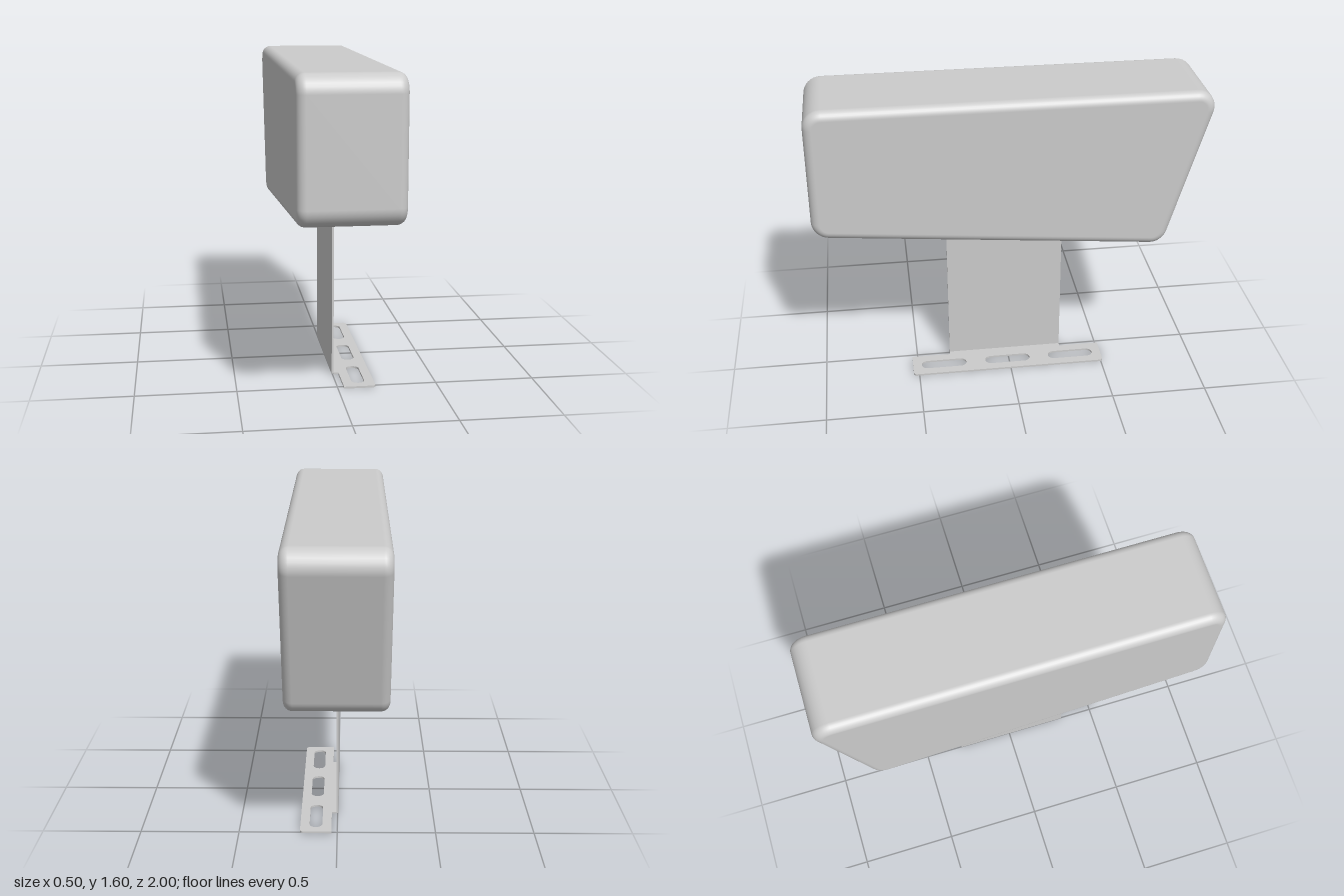
import * as THREE from 'three';

const material = new THREE.MeshStandardMaterial({ color: 0xcccccc, side: THREE.DoubleSide });

// Housing side profile as [z, y] corners: front top, back top, back bottom, front bottom
const CORNERS = [[1, 1.6], [-1.03, 1.6], [-0.785, 0.757], [1, 0.922]].map(p => new THREE.Vector2(...p));
const CORNER_R = 0.09, EDGE_R = 0.045, HALF_FLAT = 0.205, WALL = 0.022;
const OPEN_BACK = -0.68, OPEN_FRONT = 0.8;
const slope = (0.922 - 0.757) / 1.785;
const bottomY = z => 0.757 + (z + 0.785) * slope;

function mesh(name, geometry, parent) {
  const m = new THREE.Mesh(geometry, material);
  m.name = name;
  parent.add(m);
  return m;
}

function box(name, parent, [x0, x1], [y0, y1], [z0, z1]) {
  const g = new THREE.BoxGeometry(x1 - x0, y1 - y0, z1 - z0);
  return mesh(name, g.translate((x0 + x1) / 2, (y0 + y1) / 2, (z0 + z1) / 2), parent);
}

// Rounded profile as arc centres plus outward normals, so it can be offset exactly
function profile() {
  const pts = [];
  let openIndex = 0;
  const normal = i => {
    const d = CORNERS[(i + 1) % 4].clone().sub(CORNERS[i % 4]).normalize();
    return new THREE.Vector2(d.y, -d.x);
  };
  for (let i = 0; i < 4; i++) {
    const n0 = normal(i + 3), n1 = normal(i);
    const bisector = n0.clone().add(n1);
    const c = CORNERS[i].clone().addScaledVector(bisector, -CORNER_R / (1 + n0.dot(n1)));
    const turn = Math.acos(n0.dot(n1));
    for (let k = 0; k <= 8; k++) {
      pts.push({ c, n: n0.clone().rotateAround(new THREE.Vector2(), turn * k / 8) });
    }
    if (i === 2) { // the two ends of the bottom opening
      openIndex = pts.length;
      for (const z of [OPEN_BACK, OPEN_FRONT]) {
        pts.push({ c: new THREE.Vector2(z, bottomY(z)).addScaledVector(n1, -CORNER_R), n: n1 });
      }
    }
  }
  return { pts, openIndex };
}

// One skin of the housing: profile lofted across x with filleted side edges
function skin(edgeRadius, inward) {
  const { pts, openIndex } = profile();
  const N = pts.length, STEPS = 8, pos = [], nor = [], index = [];
  const sign = inward ? -1 : 1;
  for (const side of [-1, 1]) {
    for (let s = 0; s <= STEPS; s++) {
      const a = (side < 0 ? STEPS - s : s) / STEPS * Math.PI / 2;
      const reach = CORNER_R - EDGE_R + edgeRadius * Math.cos(a);
      for (const { c, n } of pts) {
        pos.push(side * (HALF_FLAT + edgeRadius * Math.sin(a)), c.y + n.y * reach, c.x + n.x * reach);
        nor.push(sign * side * Math.sin(a), sign * n.y * Math.cos(a), sign * n.x * Math.cos(a));
      }
    }
  }
  const tri = (a, b, c) => index.push(...(inward ? [a, c, b] : [a, b, c]));
  const rows = 2 * STEPS + 2;
  for (let r = 0; r < rows - 1; r++) {
    for (let k = 0; k < N; k++) {
      if (r === STEPS && k === openIndex) continue;
      const a = r * N + k, b = r * N + (k + 1) % N;
      tri(a, a + N, b);
      tri(b, a + N, b + N);
    }
  }
  // flat side panels
  const last = (rows - 1) * N;
  for (let k = 1; k < N - 1; k++) {
    tri(0, k, k + 1);
    tri(last, last + k + 1, last + k);
  }
  // orient every triangle to agree with its normals
  const v = i => new THREE.Vector3().fromArray(pos, i * 3);
  for (let i = 0; i < index.length; i += 3) {
    const [a, b, c] = index.slice(i, i + 3);
    const face = v(b).sub(v(a)).cross(v(c).sub(v(a)));
    const want = new THREE.Vector3();
    for (const q of [a, b, c]) want.add(new THREE.Vector3().fromArray(nor, q * 3));
    if (face.dot(want) < 0) { index[i + 1] = c; index[i + 2] = b; }
  }
  const g = new THREE.BufferGeometry();
  g.setAttribute('position', new THREE.Float32BufferAttribute(pos, 3));
  g.setAttribute('normal', new THREE.Float32BufferAttribute(nor, 3));
  g.setIndex(index);
  return g;
}

function rectPath(path, x0, x1, y0, y1) {
  path.moveTo(x0, y0);
  path.lineTo(x1, y0);
  path.lineTo(x1, y1);
  path.lineTo(x0, y1);
  path.closePath();
  return path;
}

function housing() {
  const g = new THREE.Group();
  g.name = 'housing';
  mesh('outerShell', skin(EDGE_R, false), g);
  mesh('innerShell', skin(EDGE_R - WALL, true), g);

  // rim closing the wall thickness around the bottom opening
  const half = (OPEN_FRONT - OPEN_BACK) / 2 * Math.hypot(1, slope);
  const frame = rectPath(new THREE.Shape(), -0.212, 0.212, -half - 0.012, half + 0.012);
  frame.holes.push(rectPath(new THREE.Path(), -0.204, 0.204, -half, half));
  const rimGeo = new THREE.ExtrudeGeometry(frame, { depth: WALL, bevelEnabled: false });
  const rim = mesh('openingRim', rimGeo.rotateX(-Math.PI / 2), g);
  const zc = (OPEN_FRONT + OPEN_BACK) / 2;
  rim.position.set(0, bottomY(zc) + 0.001, zc);
  rim.rotation.x = -Math.atan(slope);

  // equipment box and small mounting tabs inside
  box('innerBox', g, [-0.2, 0.2], [0.825, 1.1], [-0.46, 0.04]);
  for (const side of [-1, 1]) {
    const tab = new THREE.Shape();
    tab.moveTo(-0.05, 0);
    tab.lineTo(0.05, 0);
    tab.lineTo(0.05, 0.05);
    tab.lineTo(0, 0.11);
    tab.lineTo(-0.05, 0.11);
    tab.closePath();
    tab.holes.push(new THREE.Path().absarc(-0.01, 0.06, 0.014, 0, Math.PI * 2, true));
    const t = mesh('mountingTab', new THREE.ExtrudeGeometry(tab, { depth: 0.008, bevelEnabled: false, curveSegments: 12 }), g);
    t.rotation.y = Math.PI / 2;
    t.position.set(side * 0.17 - 0.004, 0.915, 0.7);
  }
  return g;
}

// Slotted foot flange, drawn in (x, -z) and laid flat
function footFlange() {
  const z0 = -0.53, z1 = 0.51, x0 = 0.03, x1 = 0.19, r = 0.02;
  const s = new THREE.Shape();
  s.moveTo(x0, z0);
  s.lineTo(x1 - r, z0);
  s.quadraticCurveTo(x1, z0, x1, z0 + r);
  s.lineTo(x1, z1 - r);
  s.quadraticCurveTo(x1, z1, x1 - r, z1);
  s.lineTo(x0, z1);
  s.lineTo(x0, 0.295);
  s.lineTo(0.005, 0.295);
  s.lineTo(0.005, -0.32);
  s.lineTo(x0, -0.32);
  s.closePath();
  for (const c of [-0.36, -0.01, 0.34]) {
    const h = new THREE.Path();
    h.absarc(0.11, c + 0.09, 0.033, 0, Math.PI, false);
    h.absarc(0.11, c - 0.09, 0.033, Math.PI, Math.PI * 2, false);
    h.closePath();
    s.holes.push(h);
  }
  return new THREE.ExtrudeGeometry(s, { depth: 0.01, bevelEnabled: false, curveSegments: 12 }).rotateX(-Math.PI / 2);
}

export function createModel() {
  const model = new THREE.Group();
  model.name = 'pedestalHousing';
  model.add(housing());

  // bent sheet-metal stand
  const stand = new THREE.Group();
  stand.name = 'stand';
  box('uprightPlate', stand, [-0.004, 0.006], [0.004, 0.9], [-0.295, 0.32]);
  mesh('footFlange', footFlange(), stand);
  model.add(stand);
  return model;
}
